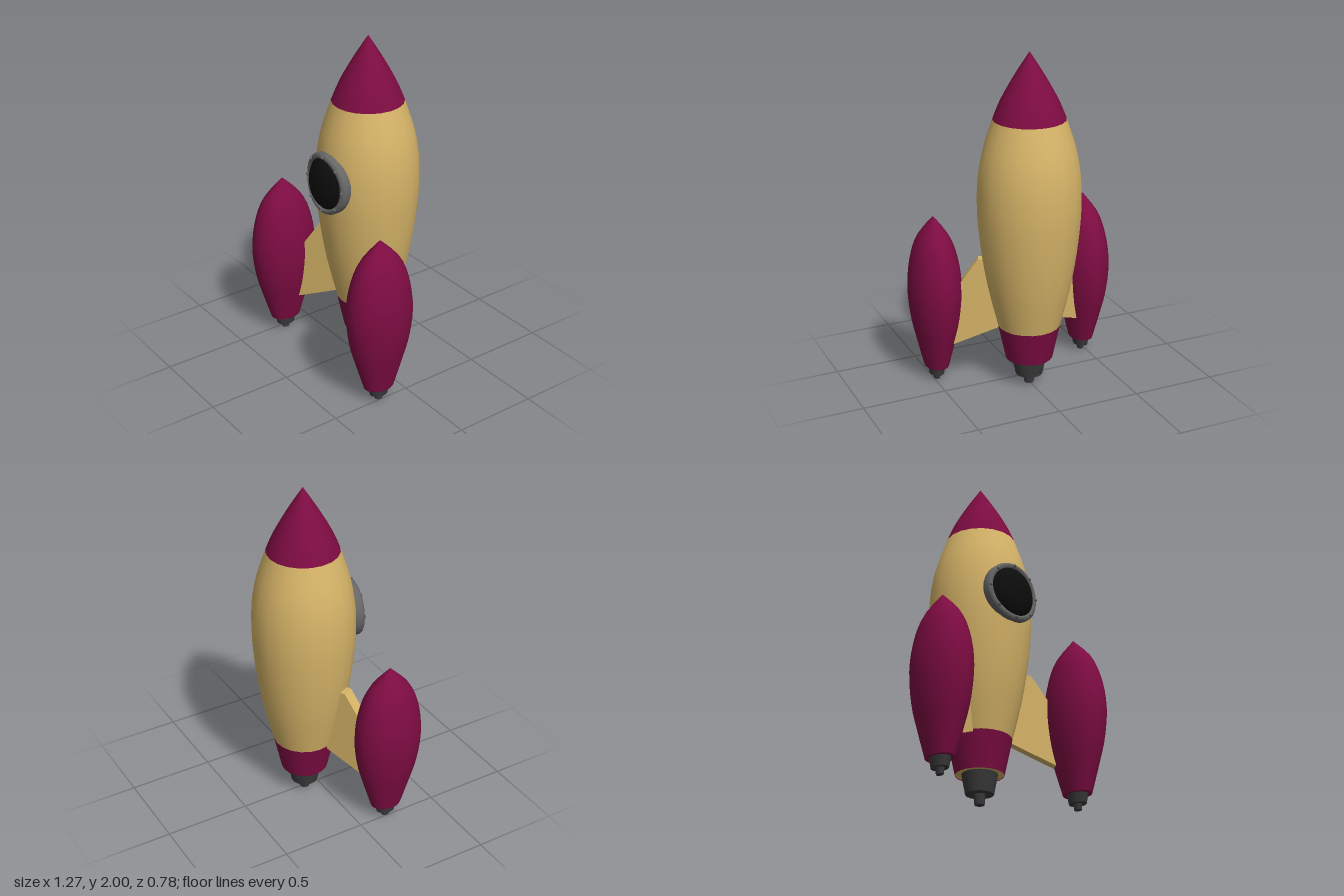
import * as THREE from 'three';

const mat = (color) => new THREE.MeshStandardMaterial({ color, side: THREE.DoubleSide });
const RED = mat(0x7d0c42), SAND = mat(0xd6b468), NOZZLE = mat(0x3a3a3a), RIM = mat(0x666666), GLASS = mat(0x0d0d0d);
const BODY_Z = -0.09, SIDES = 20;

function add(parent, name, geometry, material) {
  const mesh = new THREE.Mesh(geometry, material);
  mesh.name = name;
  parent.add(mesh);
  return mesh;
}

// Lathe through [radius, y] points, listed bottom to top
const lathe = (pts, sides = SIDES) =>
  new THREE.LatheGeometry(pts.map(([r, y]) => new THREE.Vector2(r, y)), sides);

// Smooth curve through [radius, y] points
function smooth(pts, n = 16) {
  const curve = new THREE.SplineCurve(pts.map(([r, y]) => new THREE.Vector2(r, y)));
  return curve.getPoints(n).map((p) => [Math.max(p.x, 0), p.y]);
}

// Stepped exhaust: wide tapered collar with a narrow pipe below
function addNozzle(parent, top, step, rTop, rStep, rPipe, rEnd) {
  const collar = add(parent, 'nozzleCollar', new THREE.CylinderGeometry(rTop, rStep, top - step, SIDES), NOZZLE);
  collar.position.y = (top + step) / 2;
  const pipe = add(parent, 'nozzlePipe', new THREE.CylinderGeometry(rPipe, rEnd, step + 0.01, SIDES), NOZZLE);
  pipe.position.y = (step + 0.01) / 2;
}

function createBody() {
  const body = new THREE.Group();
  body.name = 'body';
  body.position.z = BODY_Z;
  add(body, 'baseBand', lathe([[0.138, 0.17], [0.183, 0.38]]), RED);
  add(body, 'hull', lathe(smooth([[0.183, 0.38], [0.235, 0.6], [0.27, 0.8], [0.292, 1.0], [0.298, 1.15],
    [0.29, 1.3], [0.262, 1.45], [0.207, 1.62]], 21)), SAND);
  add(body, 'noseCone', lathe(smooth([[0.207, 1.62], [0.17, 1.71], [0.123, 1.8], [0.064, 1.9], [0, 2]], 12)), RED);
  const floor = add(body, 'baseFloor', new THREE.CircleGeometry(0.138, SIDES), SAND);
  floor.rotation.x = Math.PI / 2;
  floor.position.y = 0.175;
  addNozzle(body, 0.18, 0.06, 0.103, 0.08, 0.035, 0.028);
  return body;
}

// Booster pod, deeper than it is wide
function createBooster(side) {
  const booster = new THREE.Group();
  booster.name = side > 0 ? 'leftBooster' : 'rightBooster';
  booster.position.set(0.48 * side, 0, 0.183);
  booster.scale.z = 1.34;
  add(booster, 'boosterShell', lathe([[0, 0.09], [0.07, 0.09]]), RED);
  add(booster, 'boosterShell', lathe(smooth([[0.07, 0.09], [0.107, 0.25], [0.138, 0.4], [0.153, 0.58],
    [0.137, 0.75], [0.092, 0.9], [0, 1.03]], 20)), RED);
  addNozzle(booster, 0.095, 0.035, 0.052, 0.042, 0.022, 0.018);
  return booster;
}

// Swept strut from the hull out to a booster
function createFin(side) {
  const shape = new THREE.Shape([[0.1, 0.4], [0.165, 0.37], [0.43, 0.26], [0.52, 0.23], [0.52, 0.46],
    [0.385, 0.66], [0.295, 0.79], [0.18, 0.79]].map(([x, y]) => new THREE.Vector2(x, y)));
  const depth = side > 0 ? 0.055 : 0.07;
  const geometry = new THREE.ExtrudeGeometry(shape, { depth, bevelEnabled: false });
  geometry.translate(0, 0, -depth / 2);
  const fin = new THREE.Group();
  fin.name = side > 0 ? 'leftFin' : 'rightFin';
  add(fin, 'finPanel', geometry, SAND);
  fin.position.z = BODY_Z;
  fin.rotation.y = side > 0 ? -0.43 : Math.PI + 0.49;
  return fin;
}

// Porthole, curved to follow the hull
function createPorthole() {
  const porthole = new THREE.Group();
  porthole.name = 'porthole';
  porthole.position.set(0, 1.187, 0);
  const bendZ = (x, y) => 0.23 - 0.65 * x * x - 0.03 * y;
  const bend = (g) => {
    g.rotateX(Math.PI / 2);
    const p = g.attributes.position;
    for (let i = 0; i < p.count; i++) p.setZ(i, p.getZ(i) + bendZ(p.getX(i), p.getY(i)));
    g.computeVertexNormals();
    return g;
  };
  add(porthole, 'portholeRim', bend(lathe([[0.172, -0.06], [0.18, -0.045], [0.18, -0.012], [0.17, 0],
    [0.153, 0], [0.147, -0.012], [0.147, -0.05]], 32)), RIM);
  add(porthole, 'glass', bend(lathe(smooth([[0.15, -0.012], [0.115, 0.017], [0.06, 0.036], [0, 0.043]], 10), 32)), GLASS);
  for (let i = 0; i < 8; i++) {
    const a = (i * Math.PI) / 4, x = 0.163 * Math.cos(a), y = 0.163 * Math.sin(a);
    add(porthole, 'rivet', new THREE.SphereGeometry(0.01, 10, 8), RIM).position.set(x, y, bendZ(x, y));
  }
  return porthole;
}

export function createModel() {
  const model = new THREE.Group();
  model.name = 'rocket';
  model.add(createBody(), createPorthole());
  for (const side of [1, -1]) model.add(createBooster(side), createFin(side));
  return model;
}
